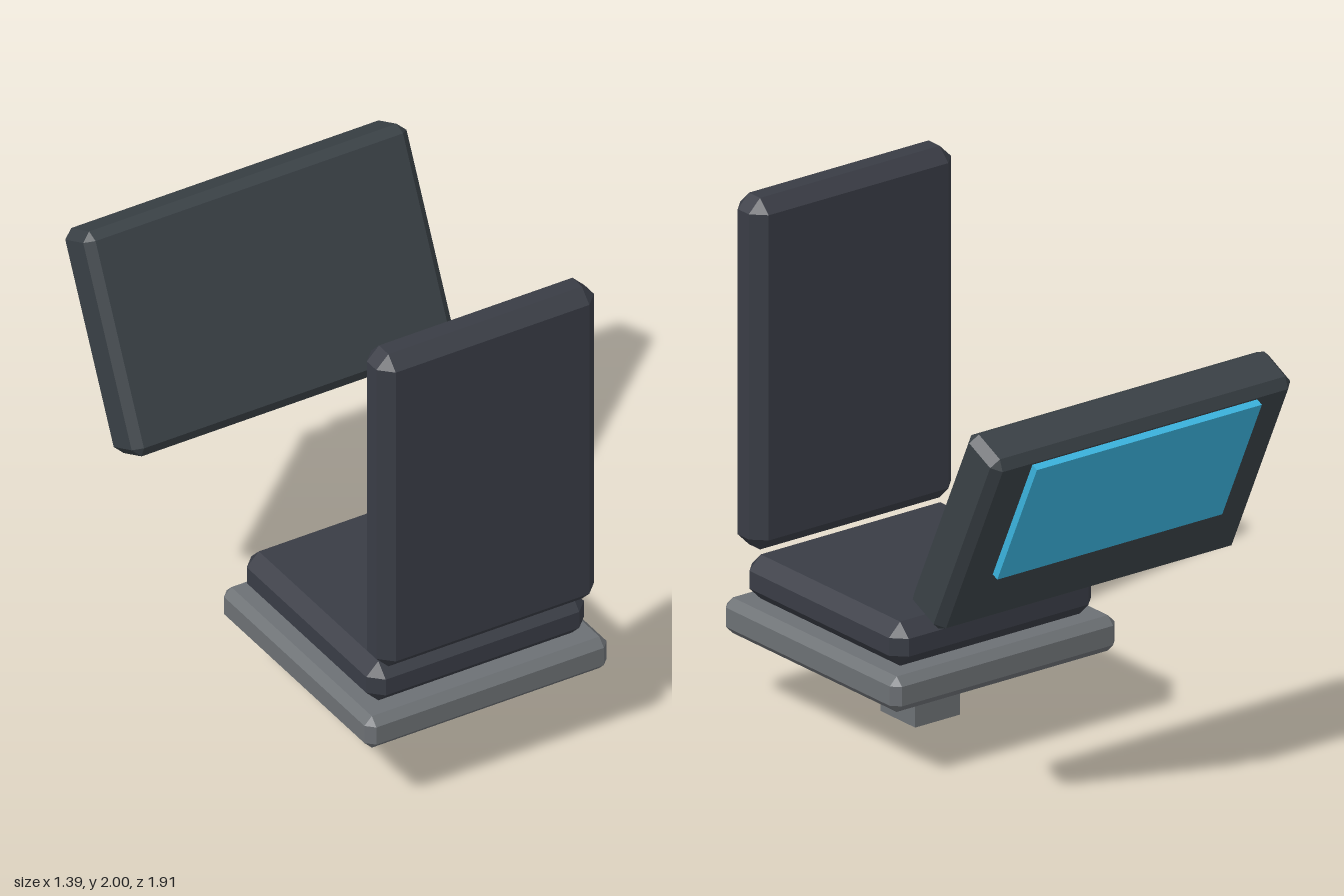
import * as THREE from 'three';
import { ConvexGeometry } from 'three/addons/geometries/ConvexGeometry.js';

function material(name, color) {
  const m = new THREE.MeshStandardMaterial({ color });
  m.name = name;
  return m;
}

// Box with every edge cut at 45 degrees
function chamferedBox(w, h, d, c) {
  const points = [];
  for (const sx of [-1, 1]) for (const sy of [-1, 1]) for (const sz of [-1, 1]) {
    const x = sx * w / 2, y = sy * h / 2, z = sz * d / 2;
    points.push(
      new THREE.Vector3(x, y - sy * c, z - sz * c),
      new THREE.Vector3(x - sx * c, y, z - sz * c),
      new THREE.Vector3(x - sx * c, y - sy * c, z)
    );
  }
  return new ConvexGeometry(points);
}

function add(parent, name, geometry, mat, x, y, z) {
  const mesh = new THREE.Mesh(geometry, mat);
  mesh.name = name;
  mesh.position.set(x, y, z);
  parent.add(mesh);
  return mesh;
}

export function createModel() {
  const upholstery = material('dark upholstery', 0x393c45);
  const casing = material('dark casing', 0x394045);
  const metal = material('grey metal', 0x6c7074);
  const glow = material('blue screen', 0x3ab2dc);

  const model = new THREE.Group();
  model.name = 'seatWithConsole';

  // Chair: post, base plate, cushion and upright back
  const chair = new THREE.Group();
  chair.name = 'chair';
  model.add(chair);
  add(chair, 'post', new THREE.BoxGeometry(0.208, 0.3, 0.208), metal, 0, 0.15, 0.415);
  add(chair, 'basePlate', chamferedBox(1.042, 0.14, 1.042, 0.032), metal, 0, 0.35, 0.415);
  add(chair, 'seat', chamferedBox(0.936, 0.174, 0.936, 0.052), upholstery, 0, 0.508, 0.415);
  add(chair, 'backrest', chamferedBox(0.936, 1.387, 0.17, 0.052), upholstery, 0, 1.3065, 0.868);

  // Console floating behind, leaning back, with the screen on its rear face
  const console = new THREE.Group();
  console.name = 'console';
  console.position.set(0, 1.223, -0.666);
  console.rotation.x = -THREE.MathUtils.degToRad(25);
  model.add(console);
  add(console, 'consoleBody', chamferedBox(1.39, 0.866, 0.206, 0.034), casing, 0, 0, 0);
  add(console, 'screen', new THREE.BoxGeometry(1.042, 0.56, 0.05), glow, 0, 0.112, -0.108);

  return model;
}
